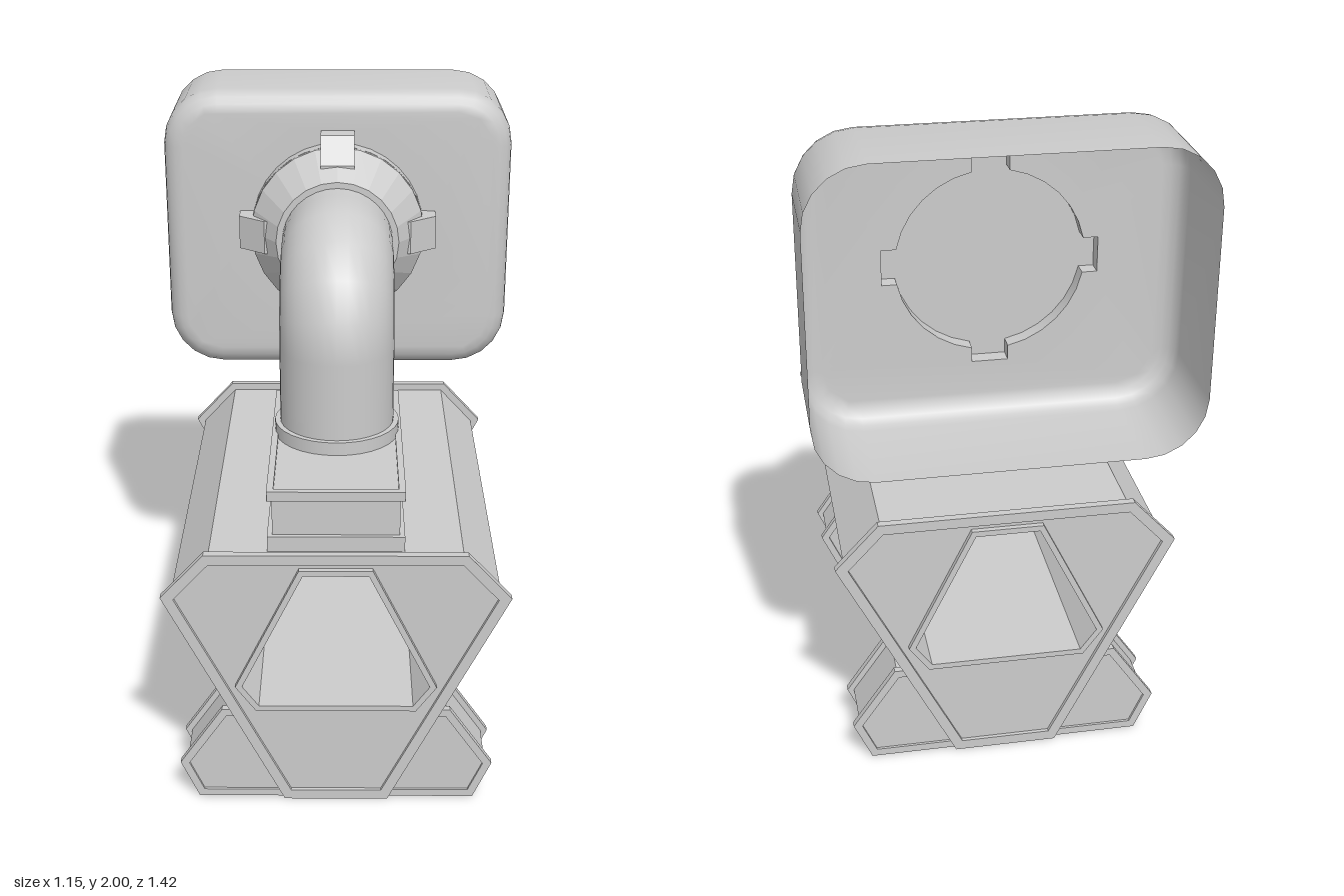
import * as THREE from 'three';
import { mergeGeometries, toCreasedNormals } from 'three/addons/utils/BufferGeometryUtils.js';

const grey = new THREE.MeshStandardMaterial({ color: 0xcccccc });
const flat = new THREE.MeshStandardMaterial({ color: 0xcccccc, flatShading: true });
const thin = new THREE.MeshStandardMaterial({ color: 0xcccccc, side: THREE.DoubleSide });
const V = (x, y) => new THREE.Vector2(x, y);

function add(parent, name, geo, mat = grey, x = 0, y = 0, z = 0) {
  const m = new THREE.Mesh(geo, mat);
  m.name = name;
  m.position.set(x, y, z);
  parent.add(m);
  return m;
}

// Move every edge of a counter-clockwise polygon inwards by d
function inset(pts, d) {
  return pts.map((p, i) => {
    const a = pts[(i + pts.length - 1) % pts.length], b = pts[(i + 1) % pts.length];
    const u = p.clone().sub(a).normalize(), v = b.clone().sub(p).normalize();
    const k = d / (1 + u.dot(v));
    return V(p.x - (u.y + v.y) * k, p.y + (u.x + v.x) * k);
  });
}

// Straight prism from z0 to z1, with an optional hole
function prism(pts, hole, z0, z1) {
  const s = new THREE.Shape(pts);
  if (hole) s.holes.push(new THREE.Path(hole));
  return new THREE.ExtrudeGeometry(s, { depth: z1 - z0, bevelEnabled: false }).translate(0, 0, z0);
}

// Skin through closed loops given as { pts, z }
function loft(rings) {
  const pos = [], idx = [], n = rings[0].pts.length;
  rings.forEach((r, i) => r.pts.forEach((p, j) => {
    pos.push(p.x, p.y, r.z);
    if (i === rings.length - 1) return;
    const a = i * n + j, b = i * n + (j + 1) % n;
    idx.push(a, b, b + n, a, b + n, a + n);
  }));
  const g = new THREE.BufferGeometry();
  g.setAttribute('position', new THREE.Float32BufferAttribute(pos, 3));
  g.setIndex(idx);
  return g.toNonIndexed();
}

function roundedRect(hw, hh, r, cy, seg = 5) {
  const pts = [];
  for (let k = 0; k < 4; k++) {
    const sx = k === 0 || k === 3 ? 1 : -1, sy = k < 2 ? 1 : -1;
    for (let i = 0; i <= seg; i++) {
      const a = (k + i / seg) * Math.PI / 2;
      pts.push(V(sx * (hw - r) + r * Math.cos(a), cy + sy * (hh - r) + r * Math.sin(a)));
    }
  }
  return pts;
}

// Circle with four square notches
function notchedCircle(r, rOut, hw, cy) {
  const pts = [], a0 = Math.asin(hw / r), inner = Math.sqrt(r * r - hw * hw);
  for (let k = 0; k < 4; k++) {
    const q = k * Math.PI / 2;
    const local = [V(inner, -hw), V(rOut, -hw), V(rOut, hw), V(inner, hw)];
    for (let i = 1; i < 6; i++) {
      const a = a0 + (Math.PI / 2 - 2 * a0) * i / 6;
      local.push(V(r * Math.cos(a), r * Math.sin(a)));
    }
    local.forEach(p => pts.push(p.rotateAround(V(0, 0), q).add(V(0, cy))));
  }
  return pts;
}

export function createModel() {
  const root = new THREE.Group();
  const model = new THREE.Group();
  model.name = 'deviceOnStand';
  model.position.x = -0.007;
  root.add(model);

  // Main body: six-sided tube with raised rims at both ends
  const outline = [V(-0.16, 0), V(0.16, 0), V(0.522, 0.72), V(0.39, 0.863), V(-0.39, 0.863), V(-0.522, 0.72)];
  const tunnel = [V(-0.235, 0.347), V(0.235, 0.347), V(0.285, 0.415), V(0.098, 0.797), V(-0.098, 0.797), V(-0.285, 0.415)];
  const tunnelOuter = inset(tunnel, -0.018);
  add(model, 'body', prism(inset(outline, 0.024), tunnel, -0.633, 0.693));
  for (const [z0, z1, zf, side] of [[0.68, 0.705, 0.71, 'front'], [-0.645, -0.62, -0.65, 'back']]) {
    add(model, side + 'Rim', prism(outline, inset(outline, 0.032), z0, z1));
    const lo = Math.min(zf, z0), hi = Math.max(zf, z1);
    add(model, side + 'TunnelFrame', prism(tunnelOuter, tunnel, side === 'front' ? z0 : lo, side === 'front' ? hi : z1));
  }
  add(model, 'bottomPlate', new THREE.BoxGeometry(0.3, 0.03, 1.26), grey, 0, 0.02, 0.03);

  // Four feet, each a core between two rims
  const right = [V(0.1, 0), V(0.428, 0), V(0.484, 0.125), V(0.35, 0.32), V(0.26, 0.32)];
  const left = right.map(p => V(-p.x, p.y)).reverse();
  for (const [z0, z1, end] of [[0.49, 0.69, 'front'], [-0.63, -0.42, 'back']]) {
    for (const [pts, side] of [[left, 'Right'], [right, 'Left']]) {
      const foot = new THREE.Group();
      foot.name = end + side + 'Foot';
      model.add(foot);
      const inner = inset(pts, 0.024);
      add(foot, 'footCore', prism(inset(pts, 0.018), null, z0 + 0.008, z1 - 0.008));
      add(foot, 'footRim', prism(pts, inner, z1 - 0.022, z1));
      add(foot, 'footRim', prism(pts, inner, z0, z0 + 0.022));
    }
  }

  // Pedestal block with flanges
  add(model, 'pedestal', new THREE.BoxGeometry(0.38, 0.195, 0.75), grey, 0, 0.925, 0.243);
  add(model, 'pedestalBase', new THREE.BoxGeometry(0.41, 0.055, 0.78), grey, 0, 0.86, 0.243);
  const rim = roundedRect(0.205, 0.39, 0.001, 0, 1);
  add(model, 'pedestalRim', prism(rim, inset(rim, 0.02), 0, 0.03).rotateX(-Math.PI / 2), grey, 0, 1.005, 0.243);

  // Bent pipe
  const pz = 0.155, bend = 0.24, pr = 0.18, by = 1.31;
  add(model, 'pipeCollar', new THREE.CylinderGeometry(0.197, 0.197, 0.05, 32), grey, 0, 1.04, pz);
  add(model, 'pipeUpright', new THREE.CylinderGeometry(pr, pr, by - 1.02, 32, 1, true), grey, 0, (by + 1.02) / 2, pz);
  add(model, 'pipeElbow', new THREE.TorusGeometry(bend, pr, 32, 5, Math.PI / 2).rotateY(-Math.PI / 2), grey, 0, by, pz - bend);
  add(model, 'pipeEnd', new THREE.CylinderGeometry(pr, pr, 0.1, 32, 1, true).rotateX(Math.PI / 2), grey, 0, by + bend, pz - bend - 0.05);

  // Flared coupling behind the pipe
  const hy = by + bend, floorZ = -0.285, faceZ = -0.335;
  const profile = [V(0.285, floorZ), V(0.285, -0.27), V(0.2, -0.155), V(0.17, -0.155)];
  add(model, 'coupling', new THREE.LatheGeometry(profile, 24).rotateX(Math.PI / 2), flat, 0, hy, 0).material.side = THREE.DoubleSide;
  const socket = notchedCircle(0.285, 0.325, 0.055, hy);
  add(model, 'socketWall', toCreasedNormals(loft([{ pts: socket, z: faceZ }, { pts: socket, z: floorZ }]), 0.5), thin);
  add(model, 'socketFloor', new THREE.ShapeGeometry(new THREE.Shape(socket)), thin, 0, 0, floorZ);

  // Four wedge clips around the coupling
  const wedge = [V(0.18, floorZ), V(0.325, floorZ), V(0.325, -0.27), V(0.24, -0.205), V(0.18, -0.205)];
  for (let k = 0; k < 4; k++) {
    add(model, 'clip', prism(wedge, null, -0.055, 0.055).rotateX(Math.PI / 2).rotateZ(k * Math.PI / 2), grey, 0, hy, 0);
  }

  // Rounded head shell, open at the back
  const ringAt = (d, z) => ({ pts: roundedRect(0.577 - d, 0.475 - d, 0.18 - d, 1.525), z });
  const rings = [ringAt(0, -0.71)];
  for (let i = 0; i <= 4; i++) {
    const a = i / 4 * Math.PI / 2;
    rings.push(ringAt(0.065 * (1 - Math.cos(a)), faceZ - 0.065 * (1 - Math.sin(a))));
  }
  const face = new THREE.Shape(rings[rings.length - 1].pts);
  face.holes.push(new THREE.Path(socket));
  const faceGeo = new THREE.ShapeGeometry(face).translate(0, 0, faceZ).toNonIndexed();
  faceGeo.deleteAttribute('uv');
  faceGeo.deleteAttribute('normal');
  add(model, 'headShell', toCreasedNormals(mergeGeometries([loft(rings), faceGeo]), 0.6), thin);
  return root;
}
